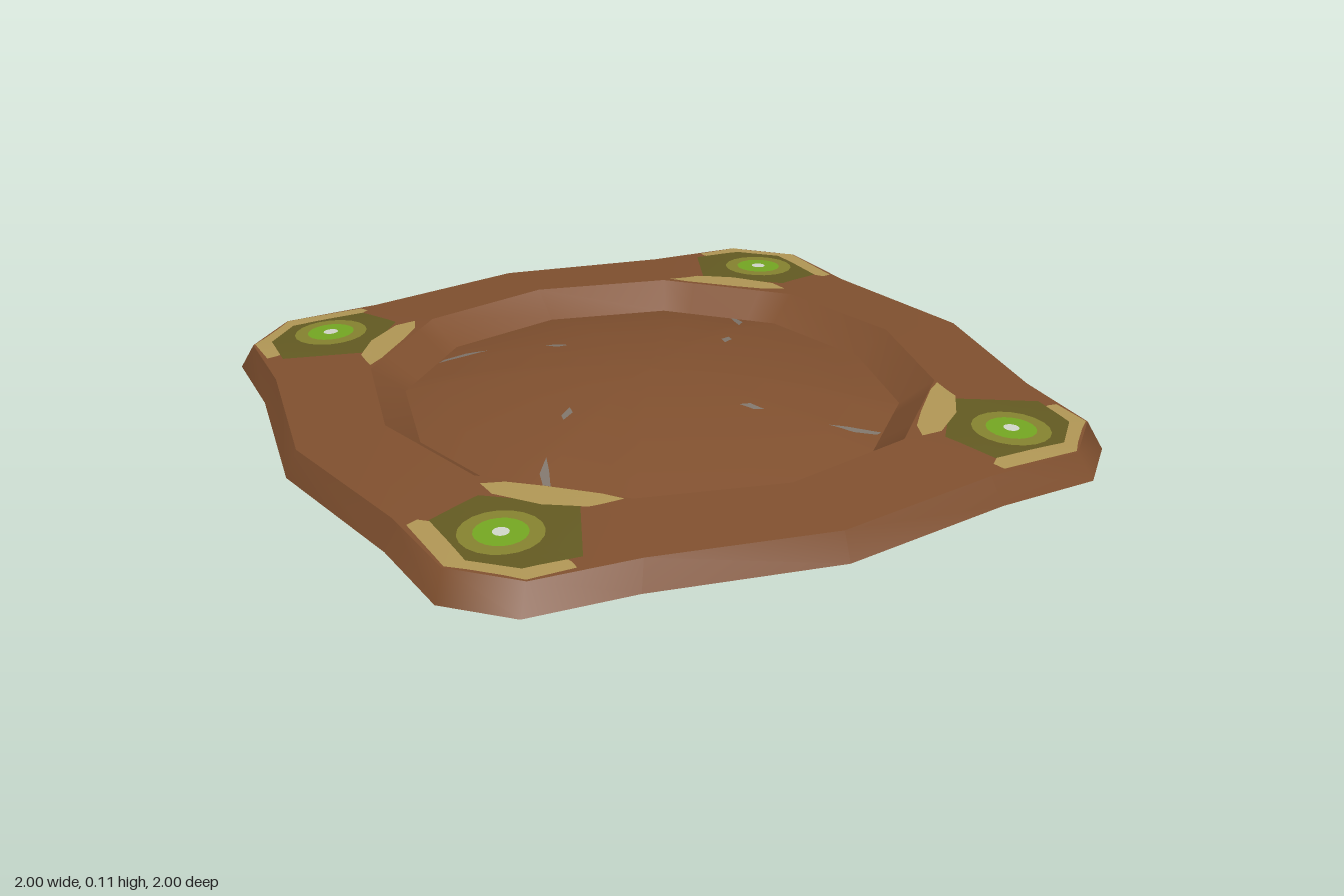
import * as THREE from 'three';

const paint = (name, color, side = THREE.DoubleSide) =>
  Object.assign(new THREE.MeshStandardMaterial({ color, side }), { name });

// Quarter-turn symmetry: (x, z) -> (z, -x)
const turn = ([x, z], n) => {
  for (let i = 0; i < n; i++) [x, z] = [z, -x];
  return [x, z];
};
const fullRing = (quarter) => [0, 1, 2, 3].flatMap((n) => quarter.map((p) => turn(p, n)));

// Skin between closed rings of [x, y, z] points, outermost first
function loft(rings) {
  const n = rings[0].length;
  const index = [];
  for (let r = 0; r < rings.length - 1; r++) {
    for (let i = 0; i < n; i++) {
      const a = r * n + i, b = r * n + (i + 1) % n;
      index.push(a, b, a + n, b, b + n, a + n);
    }
  }
  const g = new THREE.BufferGeometry();
  g.setAttribute('position', new THREE.Float32BufferAttribute(rings.flat(2), 3));
  g.setIndex(index);
  g.computeVertexNormals();
  return g;
}
const atHeight = (ring, y, s = 1) => ring.map(([x, z]) => [x * s, y, z * s]);

export function createModel() {
  const model = new THREE.Group();
  model.name = 'shallowTray';

  const brown = paint('brown clay', 0x80502f);
  const tan = paint('tan', 0xb09655);
  const olive = paint('dark olive', 0x635a22);
  const moss = paint('light olive', 0x85822f);
  const green = paint('bright green', 0x74a622);
  const pale = paint('pale grey', 0xd0d5c8);
  const grey = paint('warm grey', 0x80766c);

  const add = (name, geometry, material, parent = model) => {
    const mesh = new THREE.Mesh(geometry, material);
    mesh.name = name;
    parent.add(mesh);
    return mesh;
  };

  // Outlines from the foot inwards, one quarter each
  const foot = fullRing([[0, 1], [0.48, 0.915], [0.76, 0.9], [0.9, 0.76], [0.915, 0.48]]);
  const edge = fullRing([[0, 0.97], [0.46, 0.885], [0.73, 0.87], [0.87, 0.73], [0.885, 0.46]]);
  const lip = fullRing([[0, 0.74], [0.37, 0.65], [0.44, 0.58], [0.58, 0.44], [0.65, 0.37]]);
  const well = fullRing([[0, 0.65], [0.33, 0.57], [0.39, 0.51], [0.51, 0.39], [0.57, 0.33]]);

  add('outerWall', loft([atHeight(foot, 0), atHeight(edge, 0.07)]), brown);
  const rim = add('rim', loft([atHeight(edge, 0.07), atHeight(lip, 0.09)]), brown);
  add('wellWall', loft([atHeight(lip, 0.09), atHeight(well, 0.025)]), brown);

  // Gently domed floor
  const domeSteps = [1, 0.85, 0.7, 0.5, 0.3, 0.15, 0];
  const floor = add('domedFloor',
    loft(domeSteps.map((s) => atHeight(well, 0.112 - 0.087 * s * s, s))), brown);

  // Painted patches follow the surface, on its top and underside
  const ray = new THREE.Raycaster();
  const down = new THREE.Vector3(0, -1, 0);
  const heightAt = (x, z) => {
    ray.set(new THREE.Vector3(x, 1, z), down);
    const hit = ray.intersectObjects([rim, floor])[0];
    return hit ? hit.point.y : 0.075;
  };
  function patch(name, points, material, lift, parent, centre) {
    const c = centre || [0, 1].map((k) => points.reduce((t, p) => t + p[k], 0) / points.length);
    // Split every side so the patch can bend with the surface
    const fine = points.flatMap((p, i) => {
      const q = points[(i + 1) % points.length];
      return points.length > 12 ? [p] : [0, 0.25, 0.5, 0.75].map((t) =>
        [p[0] + (q[0] - p[0]) * t, p[1] + (q[1] - p[1]) * t]);
    });
    for (const sign of [1, -1]) {
      const rings = [1, 0.8, 0.6, 0.4, 0.2, 0].map((s) => fine.map(([px, pz]) => {
        const x = c[0] + (px - c[0]) * s, z = c[1] + (pz - c[1]) * s;
        return [x, heightAt(x, z) + sign * lift, z];
      }));
      add(name + (sign > 0 ? '' : 'Underside'), loft(rings), material, parent);
    }
  }
  const disc = ([cx, cz], r) => Array.from({ length: 20 }, (_, i) => {
    const a = (i / 20) * Math.PI * 2;
    return [cx + r * Math.sin(a), cz + r * Math.cos(a)];
  });

  const spot = [0.655, 0.7];
  const cornerTan = [[0.5, 0.84], [0.51, 0.87], [0.73, 0.865], [0.765, 0.825],
    [0.825, 0.765], [0.865, 0.73], [0.865, 0.61], [0.84, 0.61], [0.7, 0.65], [0.6, 0.75]];
  const oliveField = [[0.47, 0.68], [0.52, 0.82], [0.73, 0.815], [0.82, 0.72], [0.83, 0.58], [0.62, 0.49]];
  const innerTan = [[0.42, 0.655], [0.48, 0.65], [0.58, 0.57], [0.64, 0.48],
    [0.645, 0.39], [0.6, 0.425], [0.5, 0.53], [0.44, 0.6]];
  const longFleck = [[0.29, 0.43], [0.34, 0.445], [0.42, 0.475], [0.4, 0.485], [0.34, 0.47]];
  const shortFleck = [[0.11, 0.285], [0.14, 0.29], [0.16, 0.325], [0.135, 0.32]];

  for (let n = 0; n < 4; n++) {
    const corner = new THREE.Group();
    corner.name = 'cornerMarking' + (n + 1);
    model.add(corner);
    const put = (name, pts, material, lift, centre) =>
      patch(name, pts.map((p) => turn(p, n)), material, lift, corner, centre && turn(centre, n));
    put('outerTanBand', cornerTan, tan, 0.0015, spot);
    put('oliveField', oliveField, olive, 0.0025, spot);
    put('innerTanBand', innerTan, tan, 0.0035);
    put('spotRing', disc(spot, 0.1), moss, 0.0035);
    put('spot', disc(spot, 0.064), green, 0.0045);
    put('spotCentre', disc(spot, 0.02), pale, 0.0055);
    // Small flecks on the floor
    put('longFleck', longFleck, grey, 0.0015);
    put('shortFleck', shortFleck, grey, 0.0015);
  }
  return model;
}
